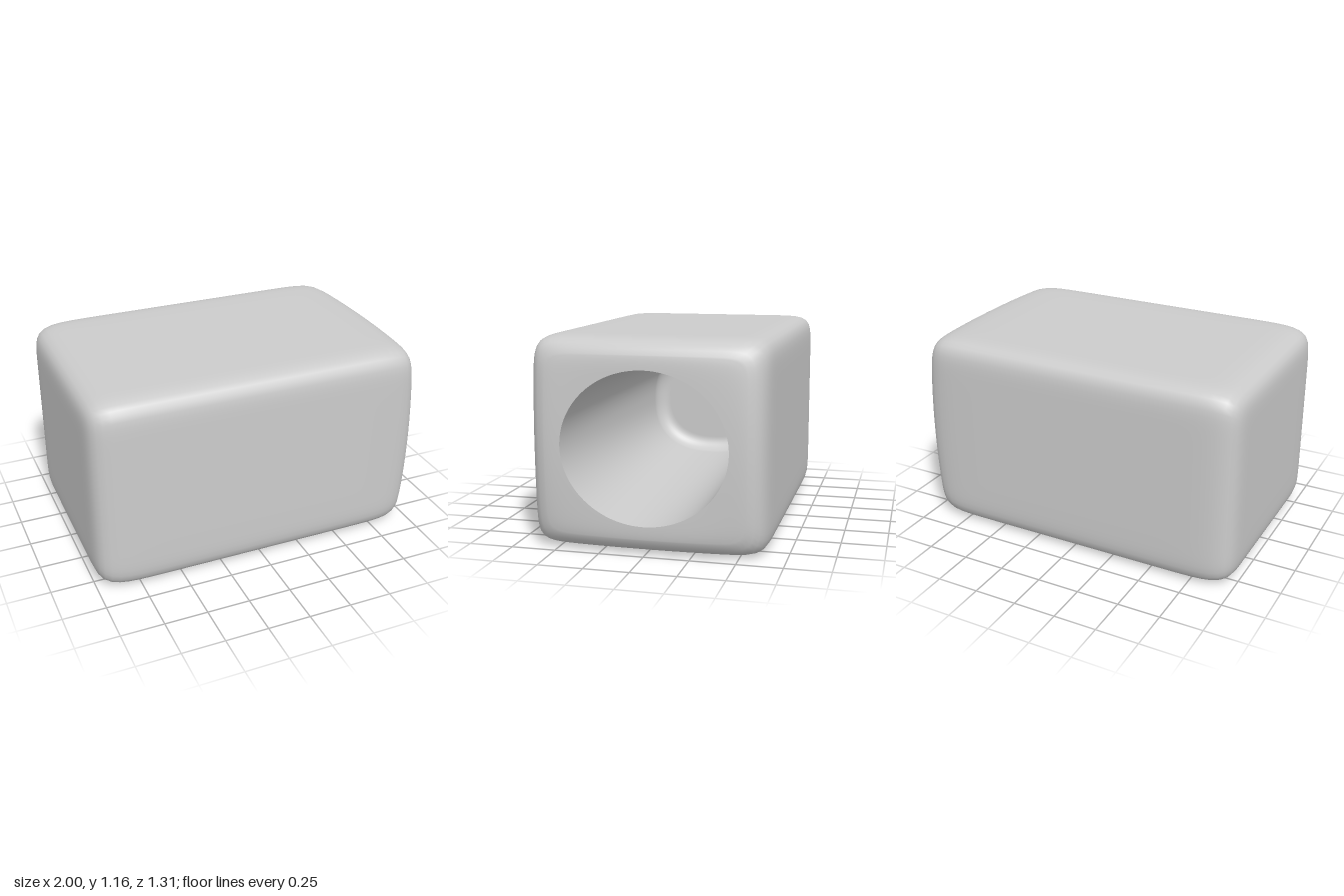
import * as THREE from 'three';

const SEG = 160;            // points around each loop
const A = 0.655, B = 0.582; // half depth (z) and half height (y)
const N = 13;               // squareness of the block
const HOLE = { a: 0.46, b: 0.417 };

// Point of a superellipse at an angle, as [z, y]
function superPoint(angle, a, b, n) {
  const c = Math.cos(angle), s = Math.sin(angle);
  const r = Math.pow(Math.abs(c) ** n + Math.abs(s) ** n, -1 / n);
  return [a * c * r, b * s * r];
}

// Skin a list of loops; each loop is a function angle -> [x, y, z]
function loft(loops, material, name) {
  const pos = [], index = [];
  for (const loop of loops)
    for (let i = 0; i < SEG; i++) pos.push(...loop((i / SEG) * Math.PI * 2));
  for (let j = 0; j < loops.length - 1; j++)
    for (let i = 0; i < SEG; i++) {
      const k = (i + 1) % SEG;
      const a = j * SEG + i, b = j * SEG + k, c = a + SEG, d = b + SEG;
      index.push(a, b, c, b, d, c);
    }
  const g = new THREE.BufferGeometry();
  g.setAttribute('position', new THREE.Float32BufferAttribute(pos, 3));
  g.setIndex(index);
  g.computeVertexNormals();
  const mesh = new THREE.Mesh(g, material);
  mesh.name = name;
  return mesh;
}

// Gently domed open end: x for a given z, y
function endX(z, y) {
  const u = Math.abs(z / A), v = Math.abs(y / B);
  const w = Math.min(1, u ** N + v ** N);
  return (1 - w) ** (1 / N) - 0.05 * (u * v) ** 2;
}

export function createModel() {
  const group = new THREE.Group();
  const material = new THREE.MeshStandardMaterial({ color: 0xcccccc, side: THREE.DoubleSide });

  // Block: closed end, sides and the rounding of the open end
  const body = [];
  const STEPS = 72, S0 = 0.85;
  const phiEnd = Math.atan2(S0, (1 - S0 ** N) ** (1 / N));
  for (let j = 0; j <= STEPS; j++) {
    const phi = Math.PI + (phiEnd - Math.PI) * (j / STEPS);
    const [x, s] = superPoint(phi, 1, 1, N);
    body.push((t) => {
      const [z, y] = superPoint(t, A * s, B * s, N);
      const drop = x > 0 ? 0.05 * ((z * y) / (A * B)) ** 2 * x ** 4 : 0;
      return [x - drop, y + B, z];
    });
  }
  // Open end: blend from the square outline to the oval mouth
  for (let j = 1; j <= 16; j++) {
    const k = j / 16;
    body.push((t) => {
      const [z0, y0] = superPoint(t, A * S0, B * S0, N);
      const [z1, y1] = superPoint(t, HOLE.a, HOLE.b, 2);
      const z = z0 + (z1 - z0) * k, y = y0 + (y1 - y0) * k;
      return [endX(z, y), y + B, z];
    });
  }
  group.add(loft(body, material, 'block'));

  // Cavity: tapered wall, rounded floor corner and flat floor
  const FLOOR = -0.75, R = 0.09, wallEnd = FLOOR + R;
  const cavity = [];
  for (let j = 0; j <= 16; j++) {
    const k = j / 16;
    cavity.push((t) => {
      const [mz, my] = superPoint(t, HOLE.a, HOLE.b, 2);
      const [z, y] = superPoint(t, HOLE.a - 0.06 * k, HOLE.b - 0.057 * k, 2 + 0.4 * k);
      const x0 = endX(mz, my);
      return [x0 + (wallEnd - x0) * k, y + B, z];
    });
  }
  for (let j = 1; j <= 10; j++) {
    const q = (j / 10) * Math.PI / 2, inset = R * (1 - Math.cos(q));
    cavity.push((t) => {
      const [z, y] = superPoint(t, 0.4 - inset, 0.36 - inset, 2.4);
      return [wallEnd - R * Math.sin(q), y + B, z];
    });
  }
  cavity.push(() => [FLOOR, B, 0]);
  group.add(loft(cavity, material, 'cavity'));
  return group;
}
